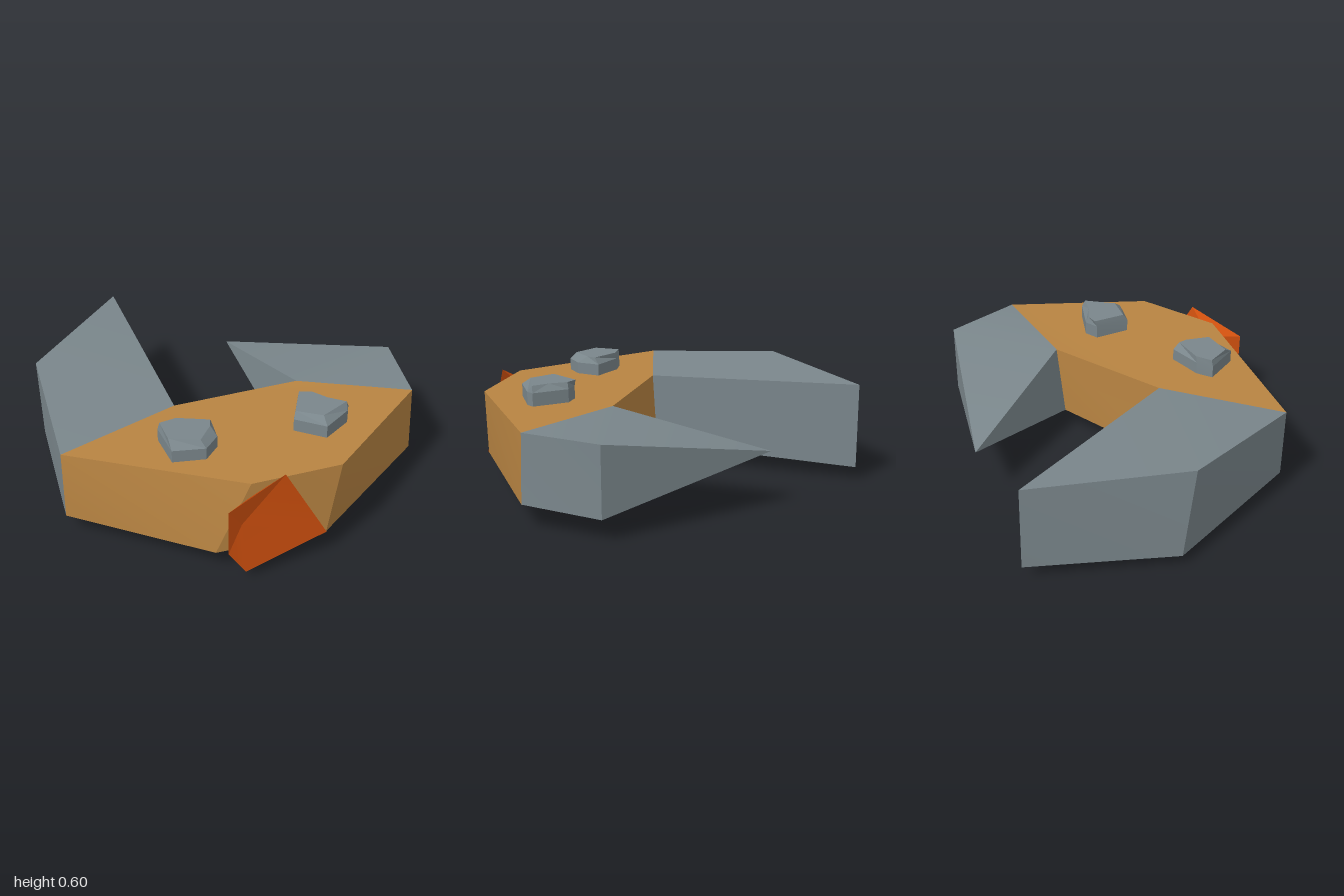
import * as THREE from 'three';
import { toCreasedNormals } from 'three/addons/utils/BufferGeometryUtils.js';

const shellBrown = new THREE.MeshStandardMaterial({ color: 0xb88442, name: 'shellBrown' });
const stoneGrey = new THREE.MeshStandardMaterial({ color: 0x7a868b, name: 'stoneGrey' });
const beakOrange = new THREE.MeshStandardMaterial({ color: 0xd0500e, name: 'beakOrange' });

// Mesh from a list of triangles, each made of three [x, y, z] corners
function meshFrom(name, material, triangles, crease = 0.35) {
  const solid = triangles.filter(([a, b, c]) => a !== b && b !== c && c !== a);
  const geometry = new THREE.BufferGeometry();
  geometry.setAttribute('position', new THREE.Float32BufferAttribute(solid.flat(2), 3));
  const mesh = new THREE.Mesh(toCreasedNormals(geometry, crease), material);
  mesh.name = name;
  return mesh;
}

// Closed solid through cross-sections listed from top to bottom,
// each counterclockwise seen from above; caps fan out from corner 0
function loft(name, material, loops, crease) {
  const tris = [];
  const n = loops[0].length;
  const top = loops[0], bottom = loops[loops.length - 1];
  for (let k = 0; k + 1 < loops.length; k++) {
    for (let i = 0; i < n; i++) {
      const j = (i + 1) % n;
      const a = loops[k][i], b = loops[k][j], c = loops[k + 1][i], d = loops[k + 1][j];
      if (a === c) tris.push([a, d, b]);
      else if (b === d) tris.push([a, c, d]);
      else tris.push([a, c, d], [a, d, b]);
    }
  }
  for (let i = 1; i + 1 < n; i++) {
    tris.push([top[0], top[i], top[i + 1]], [bottom[0], bottom[i + 1], bottom[i]]);
  }
  return meshFrom(name, material, tris, crease);
}

// Flat [x, z] outline lifted to a height
const level = (outline, y) => outline.map(([x, z]) => [x, y, z]);

export function createModel() {
  const group = new THREE.Group();
  group.name = 'clawedCreature';

  // Corners shared by body and claws
  const rightOuterTop = [-0.97, 0.49, 0.39], rightOuterLow = [-0.97, 0.11, 0.39];
  const rightInnerTop = [-0.33, 0.5, 0.165], rightInnerLow = [-0.33, 0.105, 0.14];
  const leftOuterTop = [0.905, 0.488, 0.395], leftOuterLow = [0.915, 0.125, 0.4];
  const leftInnerTop = [0.35, 0.5, 0.14], leftInnerLow = [0.3, 0.115, 0.15];

  // Six-sided body slab
  group.add(loft('body', shellBrown, [
    [rightInnerTop, rightOuterTop, [-0.17, 0.505, 0.915], [0.3, 0.5, 0.9], leftOuterTop, leftInnerTop],
    [rightInnerLow, rightOuterLow, [-0.34, 0.11, 0.895], [0.22, 0.13, 0.93], leftOuterLow, leftInnerLow],
  ]));

  // Long claw with a vertical edge at its end
  group.add(loft('rightClaw', stoneGrey, [
    [rightInnerTop, [-0.365, 0.535, -1], [-0.94, 0.55, -0.38], rightOuterTop],
    [rightInnerLow, [-0.365, 0.07, -1], [-0.92, 0.06, -0.44], rightOuterLow],
  ]));

  // Short claw ending in a point
  const tip = [0.225, 0.305, -0.67];
  group.add(loft('leftClaw', stoneGrey, [
    [leftInnerTop, leftOuterTop, [0.965, 0.49, -0.04], tip],
    [leftInnerLow, leftOuterLow, [0.96, 0.115, -0.04], tip],
  ]));

  // Faceted beak: rim joined to a dented front point and a point in the body
  const rim = [
    [-0.01, 0.545, 0.945], [-0.31, 0.43, 1], [-0.31, 0.18, 1],
    [-0.22, 0.04, 0.995], [0.22, 0.13, 0.935],
  ];
  const dent = [-0.23, 0.31, 0.96], root = [-0.16, 0.42, 0.9];
  const beak = rim.flatMap((p, i) => {
    const q = rim[(i + 1) % rim.length];
    return [[dent, p, q], [root, q, p]];
  });
  group.add(meshFrom('beak', beakOrange, beak, 0.2));

  // Stones on the top: flat face, then shoulder, then foot
  const upperRight = [[-0.48, 0.43], [-0.475, 0.57], [-0.33, 0.63], [-0.25, 0.53], [-0.235, 0.48], [-0.39, 0.415]];
  const upperRightFoot = [[-0.49, 0.43], [-0.475, 0.63], [-0.31, 0.66], [-0.23, 0.58], [-0.22, 0.45], [-0.4, 0.41]];
  const upperLeft = [[0.27, 0.38], [0.19, 0.54], [0.31, 0.62], [0.465, 0.54], [0.39, 0.48], [0.33, 0.4]];
  const upperLeftFoot = [[0.26, 0.39], [0.175, 0.56], [0.31, 0.67], [0.46, 0.57], [0.48, 0.53], [0.34, 0.39]];
  for (const [name, face, foot] of [
    ['upperRightStone', upperRight, upperRightFoot],
    ['upperLeftStone', upperLeft, upperLeftFoot],
  ]) {
    group.add(loft(name, stoneGrey, [level(face, 0.6), level(foot, 0.565), level(foot, 0.46)], 0.2));
  }

  // Stones underneath, narrowing towards the ground
  const lowerRightFoot = [[-0.51, 0.47], [-0.48, 0.62], [-0.36, 0.71], [-0.26, 0.62], [-0.25, 0.45], [-0.38, 0.4]];
  const lowerRight = [[-0.45, 0.47], [-0.44, 0.56], [-0.36, 0.64], [-0.26, 0.6], [-0.255, 0.47], [-0.36, 0.42]];
  const lowerLeftFoot = [[0.2, 0.46], [0.18, 0.6], [0.29, 0.69], [0.42, 0.62], [0.45, 0.48], [0.32, 0.39]];
  const lowerLeft = [[0.22, 0.47], [0.21, 0.57], [0.29, 0.63], [0.41, 0.59], [0.44, 0.48], [0.33, 0.4]];
  for (const [name, foot, face] of [
    ['lowerRightStone', lowerRightFoot, lowerRight],
    ['lowerLeftStone', lowerLeftFoot, lowerLeft],
  ]) {
    group.add(loft(name, stoneGrey, [level(foot, 0.14), level(foot, 0.085), level(face, 0)], 0.2));
  }

  return group;
}
